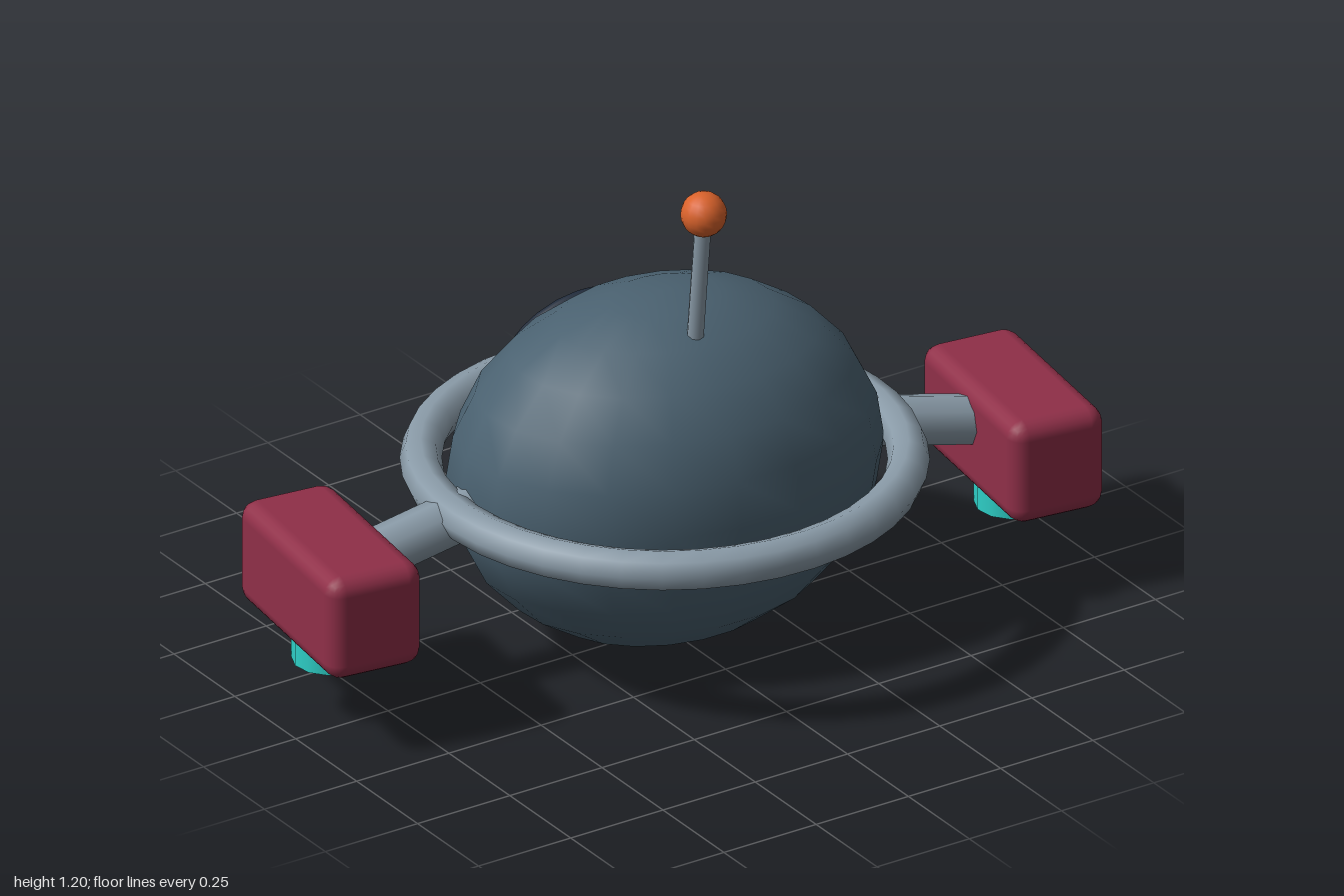
import * as THREE from 'three';
import { RoundedBoxGeometry } from 'three/addons/geometries/RoundedBoxGeometry.js';

const paint = (name, color) => {
  const m = new THREE.MeshStandardMaterial({ color });
  m.name = name;
  return m;
};

export function createModel() {
  const slate = paint('slate hull', 0x4a6170);
  const steel = paint('steel grey', 0x8a9ba8);
  const crimson = paint('crimson', 0x8f2f48);
  const navy = paint('dark navy', 0x1f2a3a);
  const orange = paint('orange', 0xd9622b);
  const cyan = paint('cyan', 0x2ed0c8);

  const model = new THREE.Group();
  model.name = 'hoverDrone';
  // The whole craft is turned slightly about the vertical axis
  const craft = new THREE.Group();
  craft.name = 'craft';
  craft.rotation.y = -0.122;
  model.add(craft);

  const add = (name, geometry, material, x, y, z) => {
    const mesh = new THREE.Mesh(geometry, material);
    mesh.name = name;
    mesh.position.set(x, y, z);
    craft.add(mesh);
    return mesh;
  };
  const ellipsoid = (rx, ry, rz, w, h) => new THREE.SphereGeometry(1, w, h).scale(rx, ry, rz);

  // Cylinder running between two points
  const rod = (name, a, b, radius, sides) => {
    const dir = b.clone().sub(a);
    const mid = a.clone().add(b).multiplyScalar(0.5);
    const mesh = add(name, new THREE.CylinderGeometry(radius, radius, dir.length(), sides), steel, mid.x, mid.y, mid.z);
    mesh.quaternion.setFromUnitVectors(new THREE.Vector3(0, 1, 0), dir.normalize());
  };

  // Hull and the ring around it
  add('body', ellipsoid(0.52, 0.43, 0.39, 20, 12), slate, 0, 0.432, 0);
  add('ring', new THREE.TorusGeometry(0.552, 0.048, 8, 40).rotateX(Math.PI / 2), steel, 0, 0.432, 0);

  // Eye on the back
  add('eyeSocket', ellipsoid(0.245, 0.22, 0.058, 24, 16), navy, 0, 0.47, -0.377);
  add('eyeLens', ellipsoid(0.135, 0.135, 0.042, 20, 14), orange, 0, 0.473, -0.433);

  // Antenna
  rod('antennaRod', new THREE.Vector3(0, 0.79, 0.152), new THREE.Vector3(0, 1.145, 0.198), 0.02, 8);
  add('antennaBall', new THREE.SphereGeometry(0.053, 16, 12), orange, 0, 1.145, 0.198);

  // Arms, pods and thrusters
  for (const [side, s] of [['left', 1], ['right', -1]]) {
    rod(side + 'Arm', new THREE.Vector3(s * 0.4, 0.435, 0), new THREE.Vector3(s * 0.85, 0.355, 0.04), 0.06, 8);
    add(side + 'Pod', new RoundedBoxGeometry(0.237, 0.255, 0.487, 2, 0.04), crimson, s * 0.862, 0.333, 0.037);
    add(side + 'Thruster', new THREE.CylinderGeometry(0.09, 0.09, 0.1, 12), cyan, s * 0.862, 0.19, 0.037);
  }
  return model;
}
